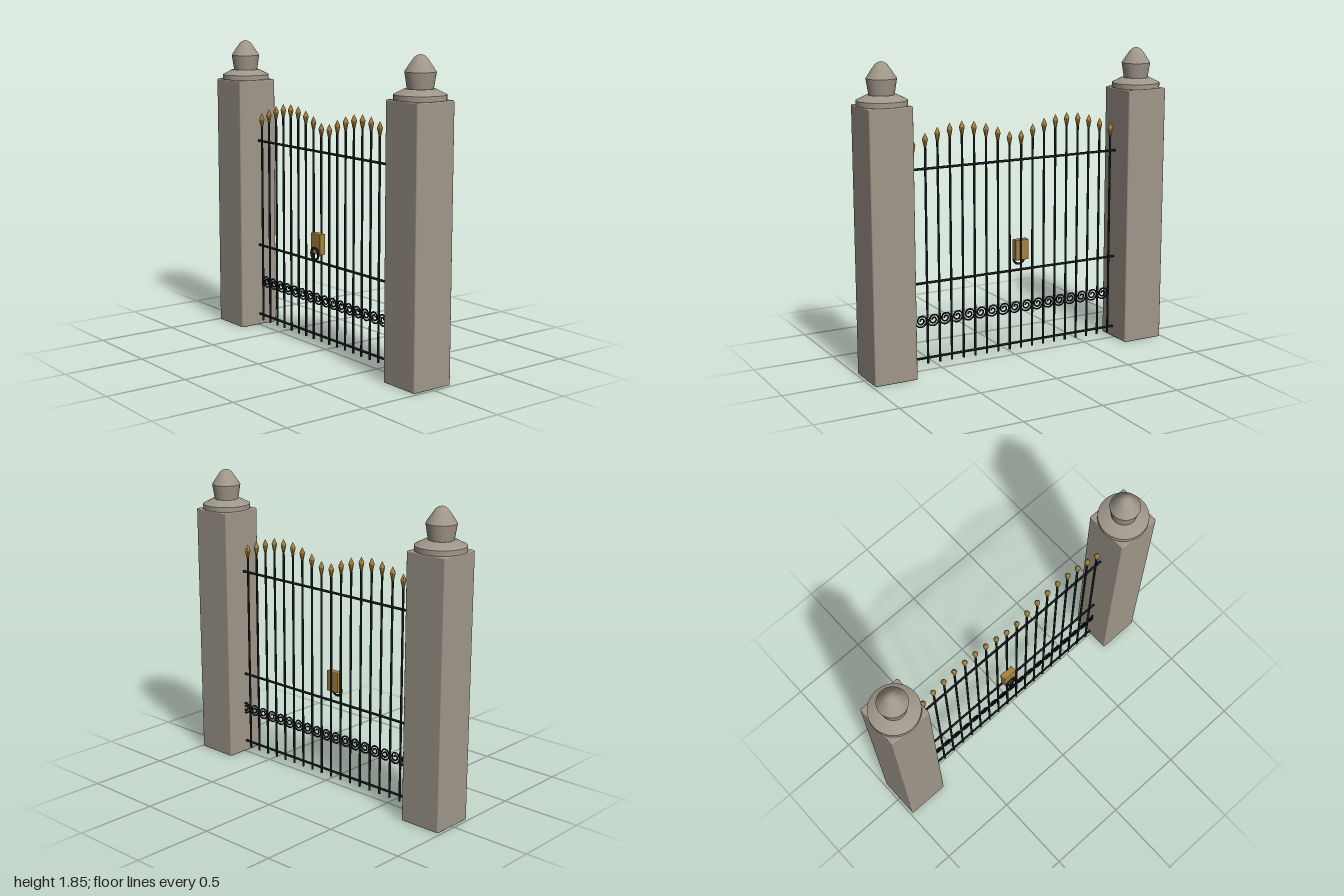
import * as THREE from 'three';
import { toCreasedNormals } from 'three/addons/utils/BufferGeometryUtils.js';
import { RoundedBoxGeometry } from 'three/addons/geometries/RoundedBoxGeometry.js';

const stone = new THREE.MeshStandardMaterial({ color: 0xa0978a });
stone.name = 'stone';
const iron = new THREE.MeshStandardMaterial({ color: 0x14181a });
iron.name = 'black iron';
const brass = new THREE.MeshStandardMaterial({ color: 0xa68140 });
brass.name = 'old brass';

function add(parent, name, geometry, material, x = 0, y = 0, z = 0) {
  const mesh = new THREE.Mesh(geometry, material);
  mesh.name = name;
  mesh.position.set(x, y, z);
  parent.add(mesh);
  return mesh;
}

// Turned shape from [radius, height] pairs, listed bottom to top
function turned(profile, segments) {
  const points = profile.map(([r, y]) => new THREE.Vector2(r, y));
  return toCreasedNormals(new THREE.LatheGeometry(points, segments), 0.6);
}

// Square post with a round cap and an acorn finial
function createPillar(x) {
  const pillar = new THREE.Group();
  pillar.name = x < 0 ? 'rightPillar' : 'leftPillar';
  pillar.position.x = x;
  add(pillar, 'post', new RoundedBoxGeometry(0.267, 1.603, 0.267, 2, 0.008), stone, 0, 0.8015);
  add(pillar, 'cap', turned([[0, 1.603], [0.147, 1.603], [0.147, 1.633], [0.085, 1.664], [0, 1.664]], 40), stone);
  add(pillar, 'finial', turned([
    [0, 1.66], [0.073, 1.66], [0.088, 1.755], [0.062, 1.795],
    [0.036, 1.832], [0.02, 1.844], [0, 1.85],
  ], 32), stone);
  return pillar;
}

// Flat spiral that unwinds from its centre
class Spiral extends THREE.Curve {
  getPoint(t, target = new THREE.Vector3()) {
    const angle = t * Math.PI * 4;
    const r = 0.008 + 0.033 * t;
    return target.set(Math.cos(angle) * r, Math.sin(angle) * r, 0);
  }
}

export function createModel() {
  const model = new THREE.Group();
  model.name = 'gate';
  model.add(createPillar(-0.853), createPillar(0.853));

  // Upright bars: two leaves of nine, each with an arched top
  const bars = new THREE.Group();
  bars.name = 'bars';
  const scrolls = new THREE.Group();
  scrolls.name = 'scrolls';
  model.add(bars, scrolls);
  const spear = turned([[0, 0], [0.008, 0], [0.017, 0.045], [0.009, 0.065], [0, 0.082]], 10);
  const scroll = new THREE.TubeGeometry(new Spiral(), 56, 0.005, 6);
  const perLeaf = 9;
  for (let i = 0; i < perLeaf * 2; i++) {
    const x = -0.672 + i * 0.0789;
    const top = 1.317 + 0.086 * Math.sin(Math.PI * (i % perLeaf) / (perLeaf - 1));
    const length = top - 0.04;
    add(bars, 'bar', new THREE.CylinderGeometry(0.007, 0.007, length, 10), iron, x, 0.04 + length / 2);
    add(bars, 'spearTip', spear, brass, x, top - 0.005);
    add(scrolls, 'scroll', scroll, iron, x + 0.0395, 0.307);
  }

  // Horizontal rails
  for (const [name, y] of [['bottomRail', 0.076], ['middleRail', 0.537], ['topRail', 1.217]]) {
    const rail = add(model, name, new THREE.CylinderGeometry(0.0075, 0.0075, 1.42, 10), iron, 0, y);
    rail.rotation.z = Math.PI / 2;
  }

  // Lock plate with its pull ring
  const lock = new THREE.Group();
  lock.name = 'lock';
  lock.position.set(-0.049, 0, 0);
  model.add(lock);
  add(lock, 'lockBox', new RoundedBoxGeometry(0.092, 0.128, 0.042, 2, 0.005), brass, 0, 0.658, 0.02);
  add(lock, 'pullRing', new THREE.TorusGeometry(0.036, 0.007, 10, 28), iron, 0, 0.597, 0.044);
  return model;
}
